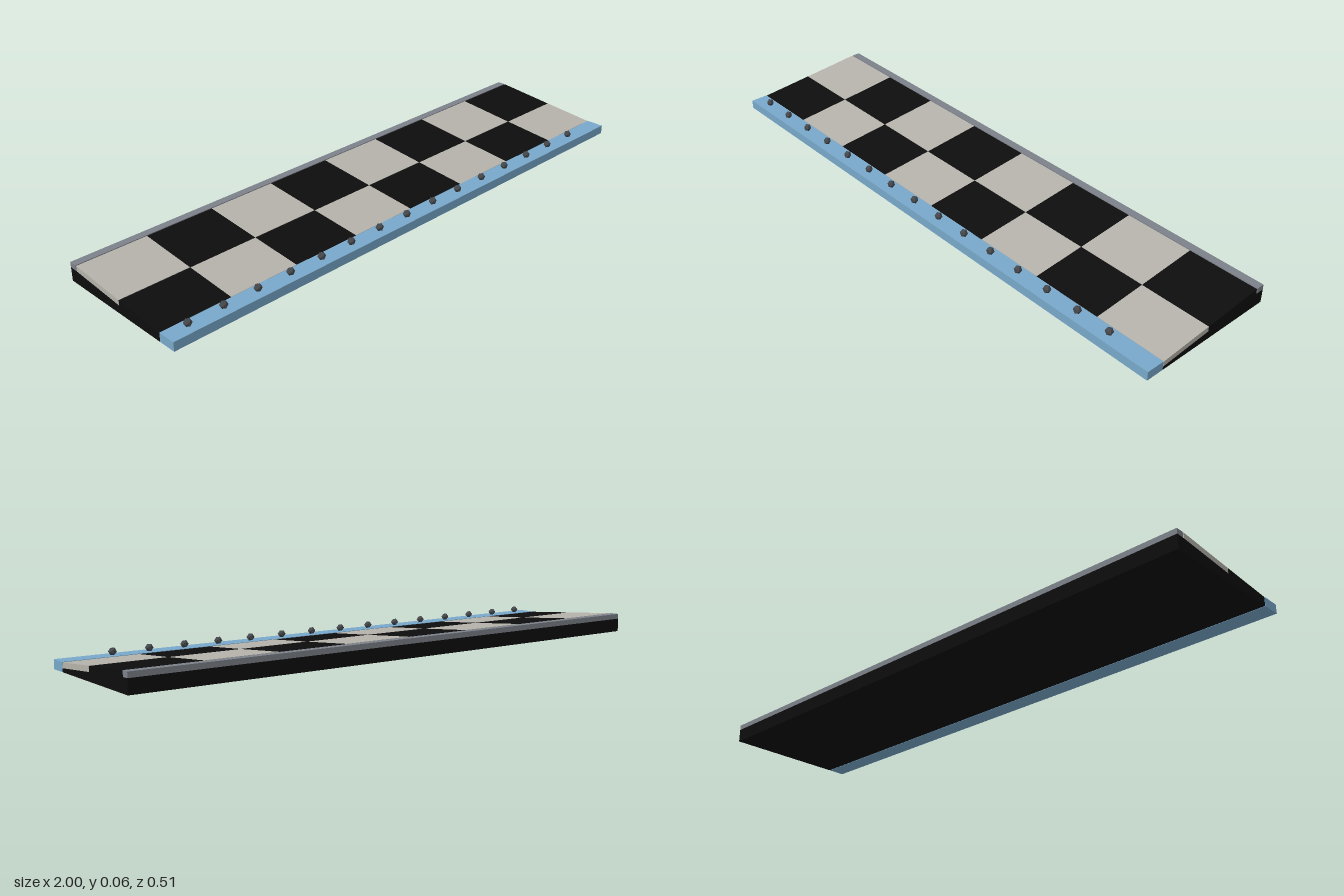
import * as THREE from 'three';

const flat = (name, color) => {
  const m = new THREE.MeshStandardMaterial({ color });
  m.name = name;
  return m;
};

// Extrude a side profile of [z, y] points along x, from x0 to x1
function slab(name, profile, x0, x1, material) {
  const shape = new THREE.Shape(profile.map(([z, y]) => new THREE.Vector2(-z, y)));
  const geo = new THREE.ExtrudeGeometry(shape, { depth: x1 - x0, bevelEnabled: false });
  geo.rotateY(Math.PI / 2); // profile x becomes -z, depth becomes +x
  geo.translate(x0, 0, 0);
  const mesh = new THREE.Mesh(geo, material);
  mesh.name = name;
  return mesh;
}

export function createModel() {
  const black = flat('black', 0x0d0d0d);
  const light = flat('pale grey', 0xb4b2aa);
  const blue = flat('blue', 0x78a8ca);
  const steel = flat('steel grey', 0x7c8189);
  const dark = flat('dark grey', 0x45484c);

  const model = new THREE.Group();
  model.name = 'checkeredRamp';

  // Sloping wedge under the tiles
  model.add(slab('wedgeBase',
    [[0.188, 0], [0.188, 0.012], [-0.222, 0.046], [-0.253, 0.047], [-0.253, 0]], -1, 1, black));

  // Two rows of eight sloping tiles in alternating colours
  const rows = [
    { name: 'frontTile', profile: [[0.188, 0.012], [0.188, 0.03], [-0.003, 0.046], [-0.003, 0.028]] },
    { name: 'rearTile', profile: [[-0.005, 0.028], [-0.005, 0.046], [-0.221, 0.065], [-0.221, 0.046]] },
  ];
  rows.forEach(({ name, profile }, row) => {
    for (let i = 0; i < 8; i++) {
      const x = -1 + i * 0.25;
      model.add(slab(name, profile, x, x + 0.25, (i + row) % 2 ? light : black));
    }
  });

  // Square bars along both long edges
  model.add(slab('frontBar', [[0.254, 0], [0.254, 0.031], [0.19, 0.031], [0.19, 0]], -1, 1, blue));
  model.add(slab('rearRail',
    [[-0.225, 0.046], [-0.225, 0.065], [-0.253, 0.065], [-0.253, 0.047]], -1, 1, steel));

  // Row of faceted studs over the front bar
  const studGeo = new THREE.IcosahedronGeometry(0.0135, 0);
  for (let i = 0; i < 15; i++) {
    const stud = new THREE.Mesh(studGeo, dark);
    stud.name = 'stud';
    stud.position.set(-0.925 + i * 0.125, 0.042, 0.219);
    model.add(stud);
  }
  return model;
}
